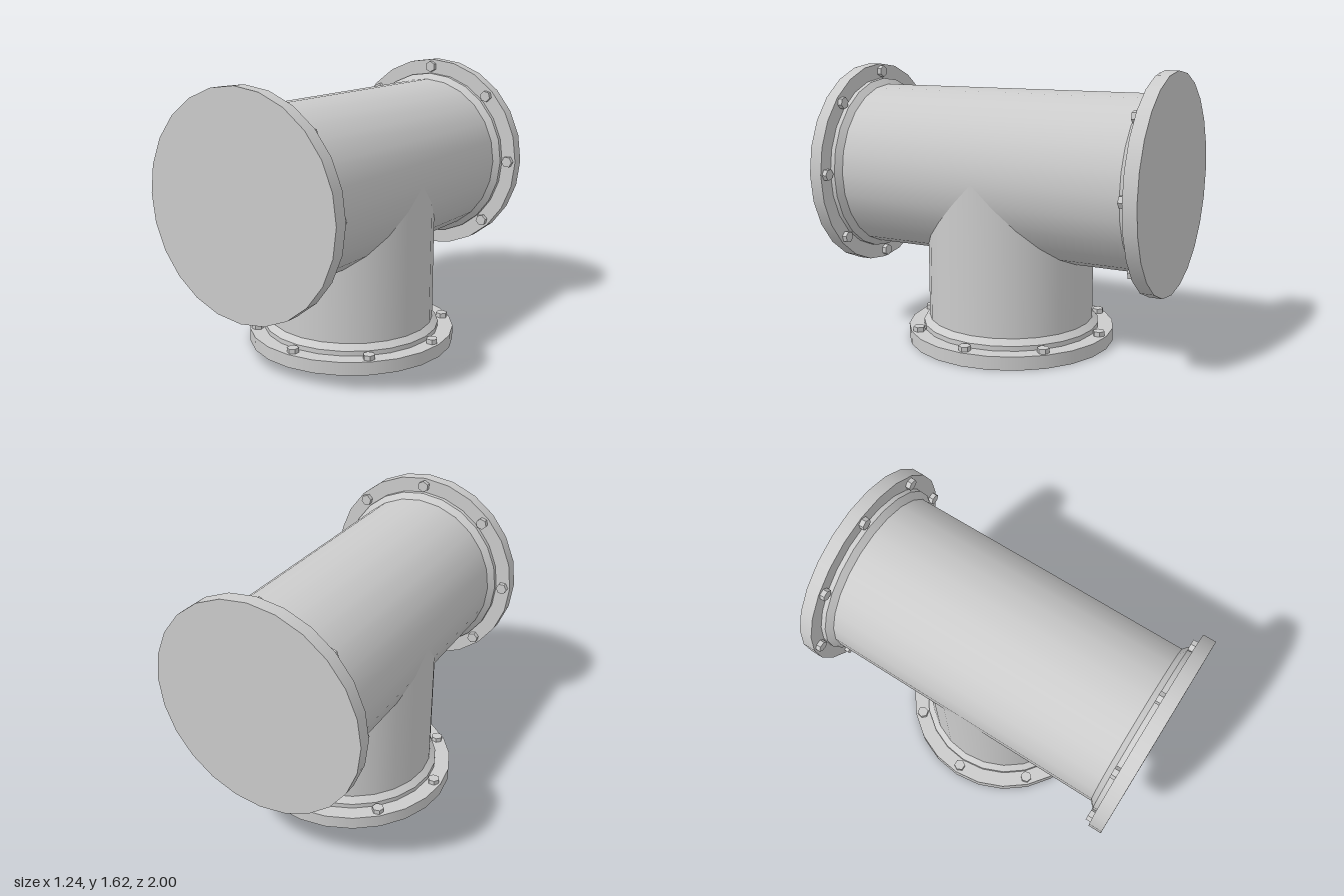
import * as THREE from 'three';

const SIDES = 24;
const PIPE_R = 0.495;
const AXIS_Y = 1;

export function createModel() {
  const material = new THREE.MeshStandardMaterial({ color: 0xcccccc });
  const model = new THREE.Group();
  model.name = 'pipeTee';

  // Cylinder or cone standing on local height y0 and ending at y1
  function drum(name, rBottom, rTop, y0, y1, sides = SIDES, open = false) {
    const geometry = new THREE.CylinderGeometry(rTop, rBottom, y1 - y0, sides, 1, open);
    geometry.translate(0, (y0 + y1) / 2, 0);
    const mesh = new THREE.Mesh(geometry, material);
    mesh.name = name;
    return mesh;
  }

  // Flange with weld collar and a ring of hex bolts; outer face at y = 0
  function flangeEnd(name) {
    const end = new THREE.Group();
    end.name = name;
    end.add(drum('flange', 0.62, 0.62, 0, 0.078));
    end.add(drum('collar', 0.53, 0.53, 0.07, 0.106));
    end.add(drum('collarBevel', 0.53, PIPE_R, 0.106, 0.138, SIDES, true));
    for (let i = 0; i < 8; i++) {
      const a = (i / 8) * Math.PI * 2;
      const bolt = drum('bolt', 0.035, 0.035, 0.07, 0.106, 6);
      bolt.material = boltMaterial;
      bolt.position.set(Math.sin(a) * 0.573, 0, Math.cos(a) * 0.573);
      bolt.rotation.y = a;
      end.add(bolt);
    }
    return end;
  }
  const boltMaterial = material.clone();
  boltMaterial.flatShading = true;

  // Main horizontal pipe
  const mainPipe = drum('mainPipe', PIPE_R, PIPE_R, -0.95, 0.95, SIDES, true);
  mainPipe.rotation.x = -Math.PI / 2;
  mainPipe.position.y = AXIS_Y;
  model.add(mainPipe);

  // Branch pipe meeting the main pipe in a mitred joint
  model.add(drum('branchPipe', PIPE_R, PIPE_R, 0.05, AXIS_Y, SIDES, true));

  // Flanged ends
  model.add(flangeEnd('bottomEnd'));
  for (const [name, side] of [['frontEnd', 1], ['backEnd', -1]]) {
    const end = flangeEnd(name);
    end.rotation.x = -side * Math.PI / 2;
    end.position.set(0, AXIS_Y, side);
    model.add(end);
  }

  return model;
}
